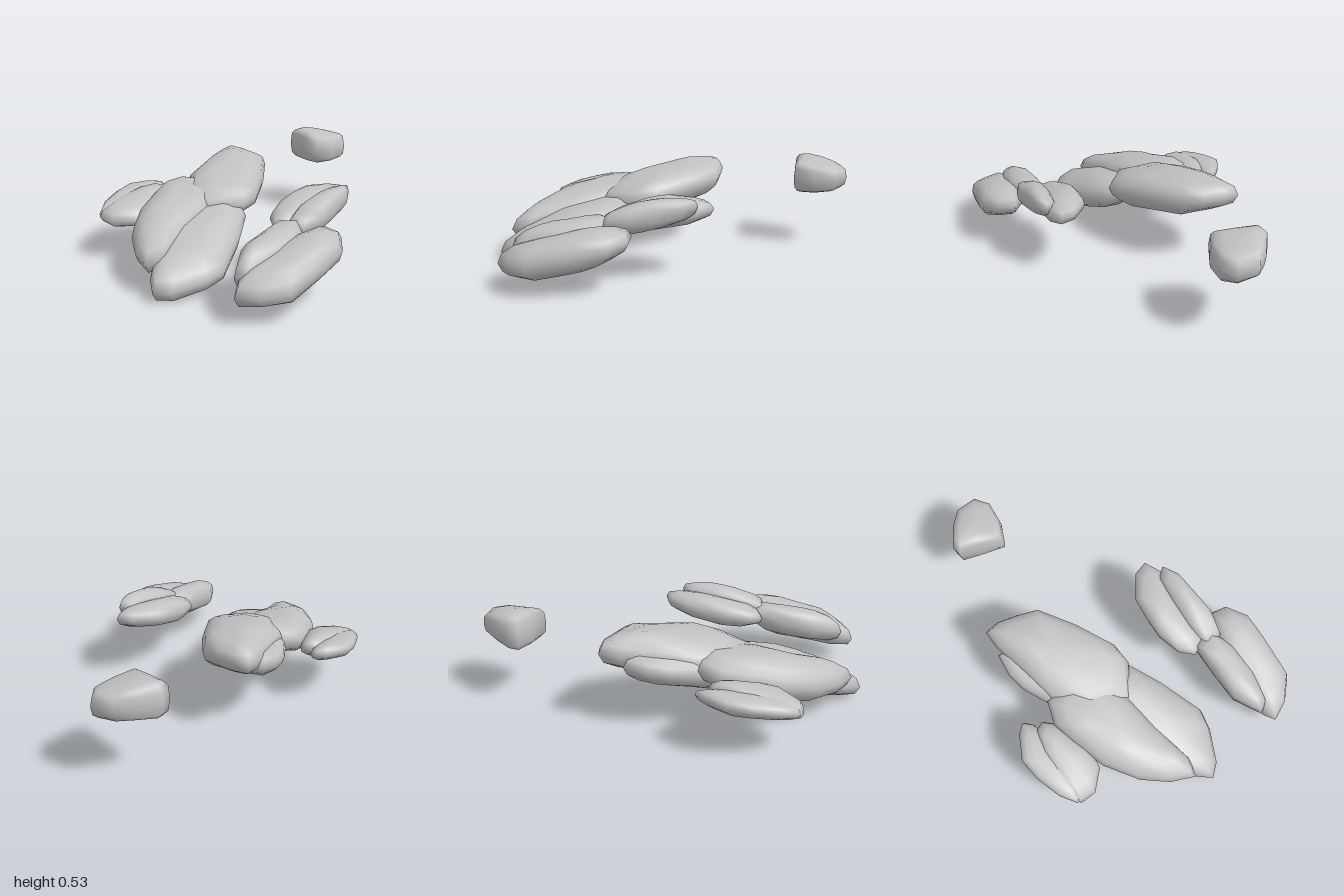
import * as THREE from 'three';
import { mergeVertices } from 'three/addons/utils/BufferGeometryUtils.js';

// A lumpy tilted stone: plan outline [x, z] clockwise from above, mid height,
// half thickness, slopes of its mid plane, roundness of its edge and
// taper (how fast it thickens towards +z).
function stoneGeometry({ outline, y, t, sx, sz, e = 0.85, taper = 0, seed }) {
  const n = outline.length;
  const cx = outline.reduce((s, p) => s + p[0], 0) / n;
  const cz = outline.reduce((s, p) => s + p[1], 0) / n;
  const rings = 8, pos = [], idx = [];
  for (let i = 0; i <= rings; i++) {
    const a = (i / rings - 0.5) * Math.PI;
    const s = i === 0 || i === rings ? 0 : Math.pow(Math.cos(a), e);
    const h = Math.sign(Math.sin(a)) * Math.pow(Math.abs(Math.sin(a)), e);
    for (const [px, pz] of outline) {
      const x = cx + (px - cx) * s, z = cz + (pz - cz) * s;
      const bump = 1 + 0.1 * Math.sin(x * 17 + seed) * Math.cos(z * 13 + seed * 2 + h);
      const thick = t * bump * (1 + taper * (z - cz));
      pos.push(x, y + sx * (x - cx) + sz * (z - cz) + h * thick, z);
    }
  }
  for (let i = 0; i < rings; i++) {
    for (let j = 0; j < n; j++) {
      const k = (j + 1) % n;
      const a = i * n + j, b = a + n, c = (i + 1) * n + k, d = i * n + k;
      if (i < rings - 1) idx.push(a, b, c);
      if (i > 0) idx.push(a, c, d);
    }
  }
  let g = new THREE.BufferGeometry();
  g.setAttribute('position', new THREE.Float32BufferAttribute(pos, 3));
  g.setIndex(idx);
  g = mergeVertices(g, 1e-4);
  g.computeVertexNormals();
  return g;
}

export function createModel() {
  const stone = new THREE.MeshStandardMaterial({ color: 0xc2c2c2 });
  stone.name = 'greyStone';
  const model = new THREE.Group();
  model.name = 'rockCluster';

  const clusters = {
    // Large slanting boulder of overlapping slabs
    mainBoulder: {
      backSlab: { y: 0.375, t: 0.115, sx: -0.09, sz: -0.12, e: 0.9, seed: 1, outline: [
        [-0.68, -0.21], [-0.6, -0.24], [-0.48, -0.235], [-0.37, -0.22], [-0.2, -0.05], [-0.06, 0.13],
        [-0.03, 0.25], [-0.11, 0.45], [-0.31, 0.45], [-0.5, 0.28], [-0.59, 0.06], [-0.66, -0.11]] },
      lowerBackSlab: { y: 0.31, t: 0.09, sx: -0.18, sz: -0.1, seed: 2, outline: [
        [-0.67, -0.08], [-0.5, -0.12], [-0.3, 0.02], [-0.15, 0.25], [-0.2, 0.45], [-0.4, 0.45],
        [-0.53, 0.27], [-0.62, 0.15], [-0.66, 0.05]] },
      frontLeftSlab: { y: 0.262, t: 0.115, sx: -0.1, sz: -0.19, seed: 3, outline: [
        [-0.53, 0.27], [-0.4, 0.2], [-0.25, 0.24], [-0.12, 0.42], [-0.04, 0.65], [0.05, 0.86],
        [0.04, 0.96], [-0.1, 0.93], [-0.25, 0.85], [-0.4, 0.7], [-0.5, 0.52], [-0.55, 0.4]] },
      frontRightSlab: { y: 0.165, t: 0.112, sx: -0.24, sz: -0.2, seed: 4, outline: [
        [-0.28, 0.32], [-0.15, 0.23], [-0.03, 0.24], [0.1, 0.4], [0.25, 0.63], [0.25, 0.75],
        [0.2, 0.93], [0.14, 1.0], [0.05, 0.95], [-0.14, 0.77], [-0.27, 0.53]] },
    },
    // Small stone on the right side
    smallSideRock: {
      outerLobe: { y: 0.283, t: 0.055, sx: -0.22, sz: -0.08, seed: 5, outline: [
        [-0.74, 0.36], [-0.7, 0.31], [-0.65, 0.34], [-0.59, 0.48], [-0.53, 0.68], [-0.55, 0.81],
        [-0.61, 0.82], [-0.68, 0.75], [-0.75, 0.62], [-0.785, 0.5]] },
      innerLobe: { y: 0.27, t: 0.07, sx: -0.18, sz: -0.12, seed: 6, outline: [
        [-0.65, 0.38], [-0.6, 0.35], [-0.55, 0.38], [-0.48, 0.48], [-0.42, 0.58], [-0.42, 0.7],
        [-0.5, 0.81], [-0.59, 0.83], [-0.65, 0.7], [-0.67, 0.5]] },
    },
    // Chain of four lobes on the left side
    longSideRock: {
      backOuterLobe: { y: 0.343, t: 0.075, sx: -0.12, sz: -0.12, seed: 7, outline: [
        [0.16, -0.05], [0.23, -0.19], [0.31, -0.23], [0.37, -0.15], [0.42, 0.1], [0.4, 0.33],
        [0.33, 0.37], [0.25, 0.32], [0.19, 0.2], [0.17, 0.08]] },
      backInnerLobe: { y: 0.36, t: 0.08, sx: 0.06, sz: -0.2, seed: 8, outline: [
        [0.33, -0.1], [0.38, -0.15], [0.44, -0.08], [0.48, 0.06], [0.52, 0.2], [0.51, 0.33],
        [0.42, 0.37], [0.36, 0.25], [0.33, 0.05]] },
      frontOuterLobe: { y: 0.248, t: 0.095, sx: -0.1, sz: -0.15, seed: 9, outline: [
        [0.35, 0.32], [0.45, 0.25], [0.55, 0.4], [0.59, 0.6], [0.58, 0.77], [0.53, 0.81],
        [0.42, 0.68], [0.38, 0.5]] },
      frontInnerLobe: { y: 0.205, t: 0.1, sx: -0.06, sz: -0.2, seed: 10, outline: [
        [0.53, 0.18], [0.63, 0.18], [0.72, 0.27], [0.75, 0.42], [0.78, 0.68], [0.7, 0.8],
        [0.6, 0.87], [0.55, 0.82], [0.5, 0.6], [0.48, 0.35]] },
    },
    // Lone blunt stone at the back, narrowing to the rear
    backRock: {
      backStone: { y: 0.42, t: 0.093, sx: -0.08, sz: -0.01, e: 0.55, taper: 1.3, seed: 11, outline: [
        [-0.65, -0.76], [-0.6, -0.88], [-0.54, -0.97], [-0.42, -1.0], [-0.35, -0.93],
        [-0.34, -0.8], [-0.37, -0.68], [-0.5, -0.69], [-0.63, -0.7]] },
    },
  };

  for (const [clusterName, lobes] of Object.entries(clusters)) {
    const group = new THREE.Group();
    group.name = clusterName;
    for (const [name, spec] of Object.entries(lobes)) {
      const mesh = new THREE.Mesh(stoneGeometry(spec), stone);
      mesh.name = name;
      group.add(mesh);
    }
    model.add(group);
  }
  return model;
}
